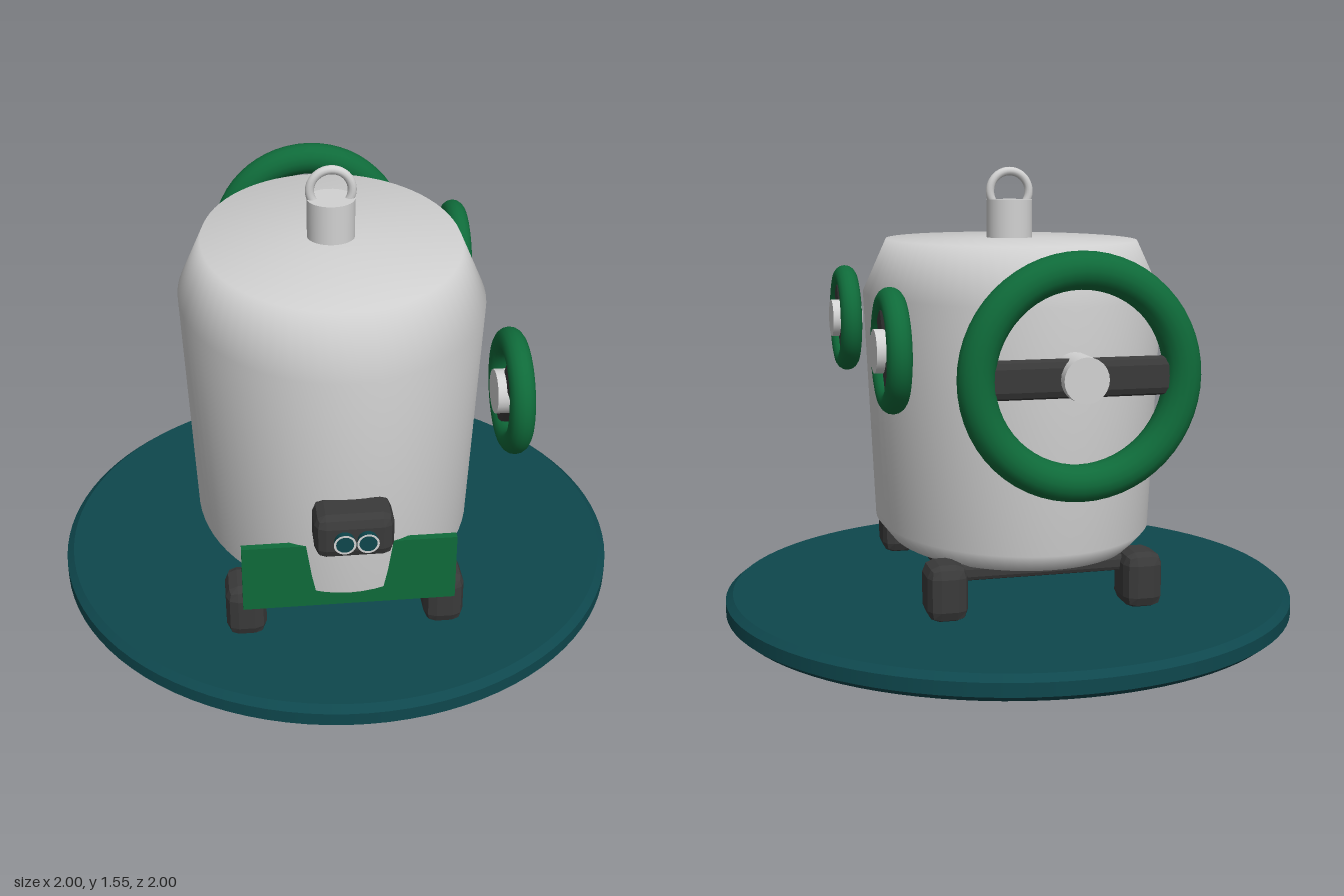
import * as THREE from 'three';
import { RoundedBoxGeometry } from 'three/addons/geometries/RoundedBoxGeometry.js';

export function createModel() {
  const model = new THREE.Group();
  const mat = (name, color) => {
    const m = new THREE.MeshStandardMaterial({ color });
    m.name = name;
    return m;
  };
  const shell = mat('light grey', 0xd2d2d2);
  const dark = mat('charcoal', 0x3a3a3a);
  const green = mat('green', 0x0f6b3a);
  const teal = mat('deep teal', 0x0e474d);

  const add = (name, geometry, material, x = 0, y = 0, z = 0, parent = model) => {
    const mesh = new THREE.Mesh(geometry, material);
    mesh.name = name;
    mesh.position.set(x, y, z);
    parent.add(mesh);
    return mesh;
  };
  // Box with faceted, chamfered edges
  const chamferBox = (w, h, d, r) => {
    const g = new RoundedBoxGeometry(w, h, d, 1, r);
    g.computeVertexNormals();
    return g;
  };
  const lathe = (points, segments) =>
    new THREE.LatheGeometry(points.map(([r, y]) => new THREE.Vector2(r, y)), segments);

  const CX = -0.025, CZ = 0.075;

  // Round base with chamfered rim, built in bands so its edges stay crisp
  const rim = [[0, 0], [0.975, 0], [1, 0.02], [1, 0.065], [0.975, 0.085], [0, 0.085]];
  const base = new THREE.Group();
  base.name = 'base';
  model.add(base);
  for (let i = 0; i < rim.length - 1; i++) {
    add('baseBand', lathe([rim[i], rim[i + 1]], 96), teal, 0, 0, 0, base);
  }

  // Oval body
  const bodyGeometry = lathe([
    [0, 0.22], [0.5, 0.222], [0.83, 0.25], [0.93, 0.315],
    [1, 1.12], [0.84, 1.305], [0, 1.31],
  ], 72);
  bodyGeometry.scale(0.515, 1, 0.67);
  add('body', bodyGeometry, shell, CX, 0, CZ);

  // Frame and four feet
  add('frame', chamferBox(0.67, 0.055, 0.92, 0.015), dark, CX, 0.228, 0.08);
  for (const x of [-0.362, 0.308]) {
    for (const z of [-0.37, 0.53]) {
      add('foot', chamferBox(0.135, 0.19, 0.172, 0.04), dark, x, 0.177, z);
    }
  }

  // Front plate, pierced by the body
  add('frontPlate', new THREE.BoxGeometry(0.7, 0.24, 0.025), green, CX, 0.375, 0.668);

  // Sensor box with twin lenses
  add('sensorBox', chamferBox(0.25, 0.15, 0.15, 0.035), dark, CX, 0.617, 0.755);
  for (const x of [-0.06, 0.012]) {
    const barrel = add('lensBarrel', new THREE.CylinderGeometry(0.035, 0.03, 0.03, 24), teal, x, 0.617, 0.838);
    barrel.rotation.x = Math.PI / 2;
    add('lensRim', new THREE.RingGeometry(0.028, 0.035, 24), shell, x, 0.617, 0.854);
  }

  // Lid knob and lifting ring
  add('knob', new THREE.CylinderGeometry(0.08, 0.08, 0.15, 32), shell, CX, 1.367, 0.08);
  add('liftingRing', new THREE.TorusGeometry(0.07, 0.015, 12, 40), shell, CX, 1.47, 0.08);

  // Handwheel lying in the XY plane: rim, flat spoke and hub
  const handwheel = (name, radius, tube, spokeAngle, hubLength) => {
    const wheel = new THREE.Group();
    wheel.name = name;
    add('wheelRim', new THREE.TorusGeometry(radius, tube, 16, 56), green, 0, 0, 0, wheel);
    const spoke = add('wheelSpoke', chamferBox(radius * 2, 0.12, 0.055, 0.025), dark, 0, 0, 0, wheel);
    spoke.rotation.z = spokeAngle;
    const hub = add('wheelHub', new THREE.CylinderGeometry(0.07, 0.07, hubLength, 24), shell, 0, 0, 0, wheel);
    hub.rotation.x = Math.PI / 2;
    model.add(wheel);
    return wheel;
  };
  for (const z of [0.597, -0.443]) {
    const wheel = handwheel('sideWheel', 0.16, 0.04, -0.98, 0.11);
    wheel.position.set(0.49, 0.985, z);
    wheel.rotation.y = Math.PI / 2;
  }
  handwheel('backWheel', 0.322, 0.058, 0, 0.13).position.set(CX, 0.93, -0.79);

  return model;
}
